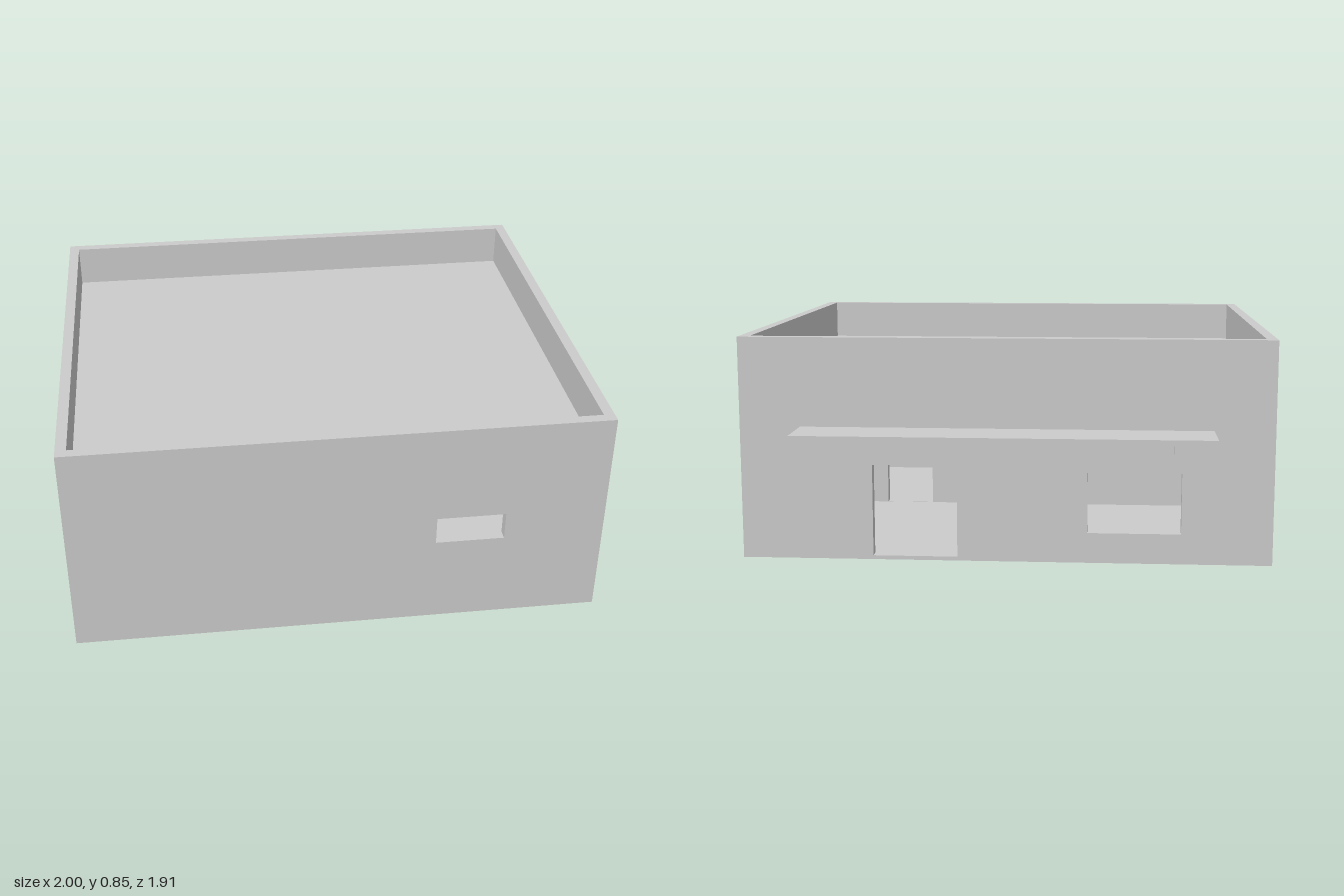
import * as THREE from 'three';

const T = 0.04;                 // wall thickness
const H = 0.845;                // parapet height
const FRONT = 0.957, BACK = -0.757;
const CEILING = 0.62, ROOF = 0.68, FLOOR = 0.015;

const material = new THREE.MeshStandardMaterial({ color: 0xcccccc, flatShading: true });

export function createModel() {
  const model = new THREE.Group();

  const add = (name, geometry) => {
    const mesh = new THREE.Mesh(geometry, material);
    mesh.name = name;
    model.add(mesh);
    return mesh;
  };

  // Box given by its limits on each axis
  const box = (name, [x0, x1], [y0, y1], [z0, z1]) => {
    const mesh = add(name, new THREE.BoxGeometry(x1 - x0, y1 - y0, z1 - z0));
    mesh.position.set((x0 + x1) / 2, (y0 + y1) / 2, (z0 + z1) / 2);
    return mesh;
  };

  const rectangle = (path, a0, a1, y0, y1) =>
    path.moveTo(a0, y0).lineTo(a1, y0).lineTo(a1, y1).lineTo(a0, y1).closePath();

  // Upright wall with rectangular openings [from, to, bottom, top]
  const wall = (name, [a0, a1], [y0, y1], openings) => {
    const shape = rectangle(new THREE.Shape(), a0, a1, y0, y1);
    for (const o of openings) shape.holes.push(rectangle(new THREE.Path(), ...o));
    return add(name, new THREE.ExtrudeGeometry(shape, { depth: T, bevelEnabled: false }));
  };

  // Outer walls: front and back run the full width, side walls fit between
  wall('frontWall', [-1, 1], [0, H], [[0.36, 0.62, 0.35, 0.46]]).position.z = FRONT - T;
  wall('backWall', [-1, 1], [0, H], [
    [0.18, 0.5, FLOOR, 0.365],      // door
    [-0.66, -0.31, 0.115, 0.345],   // window
  ]).position.z = BACK;

  const sides = [
    ['leftWall', 1, [-0.38, -0.16, 0.115, 0.345]],
    ['rightWall', -1 + T, [0.43, 0.64, FLOOR, 0.365]],
  ];
  for (const [name, x, opening] of sides) {
    const side = wall(name, [BACK + T, FRONT - T], [0, H], [opening]);
    side.rotation.y = -Math.PI / 2;
    side.position.x = x;
  }

  // Inner wall with a doorway
  wall('partition', [-1 + T, 1 - T], [FLOOR, CEILING], [[0.39, 0.59, FLOOR + 0.001, 0.365]])
    .position.z = 0.15;

  // Floor and sunken flat roof
  const insideX = [-1 + T, 1 - T], insideZ = [BACK + T, FRONT - T];
  box('floor', insideX, [0, FLOOR], insideZ);
  box('roof', insideX, [CEILING, ROOF], insideZ);

  // Canopy and small wall box over the back openings
  box('canopy', [-0.775, 0.77], [0.487, 0.508], [-0.957, BACK]);
  box('wallBox', [-0.73, -0.63], [0.4, 0.475], [BACK - 0.012, BACK]);

  return model;
}
